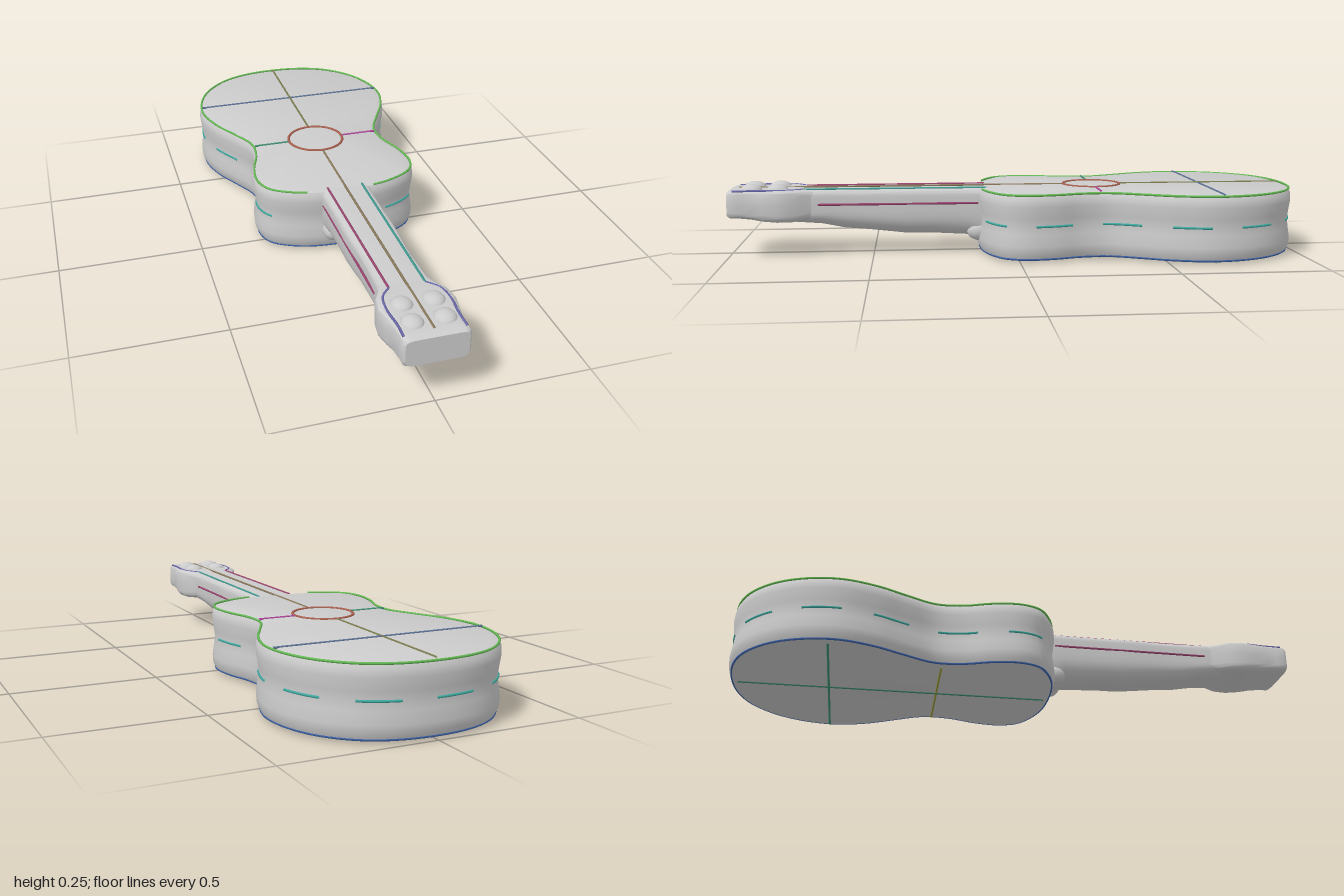
import * as THREE from 'three';
import { toCreasedNormals } from 'three/addons/utils/BufferGeometryUtils.js';

const V = (x, y, z) => new THREE.Vector3(x, y, z);

// Closed solid through equal-length rings of points
function loft(rings, crease = 0.7) {
  const n = rings[0].length, pos = [], idx = [];
  rings.forEach(r => r.forEach(p => pos.push(p.x, p.y, p.z)));
  for (let i = 0; i < rings.length - 1; i++) {
    for (let j = 0; j < n; j++) {
      const a = i * n + j, b = i * n + (j + 1) % n;
      idx.push(a, b, a + n, b, b + n, a + n);
    }
  }
  [0, rings.length - 1].forEach(i => {
    const c = V(0, 0, 0);
    rings[i].forEach(p => c.addScaledVector(p, 1 / n));
    const k = pos.length / 3;
    pos.push(c.x, c.y, c.z);
    for (let j = 0; j < n; j++) {
      const a = i * n + j, b = i * n + (j + 1) % n;
      if (i) idx.push(k, a, b); else idx.push(k, b, a);
    }
  });
  const g = new THREE.BufferGeometry();
  g.setAttribute('position', new THREE.Float32BufferAttribute(pos, 3));
  g.setIndex(idx);
  return toCreasedNormals(g, crease);
}

// Body plan: [half width, z] from the neck joint to the tail
const HALF = [[0.10, 0.125], [0.2, 0.095], [0.265, 0.05], [0.292, -0.02], [0.283, -0.12], [0.253, -0.22],
  [0.25, -0.31], [0.295, -0.41], [0.345, -0.51], [0.376, -0.63], [0.362, -0.75], [0.31, -0.86],
  [0.215, -0.95], [0.09, -0.995]];
const plan = new THREE.CatmullRomCurve3([
  ...HALF.map(([x, z]) => V(x, 0, z)),
  ...HALF.slice().reverse().map(([x, z]) => V(-x, 0, z)),
], true);
const PLAN_COUNT = 120;

// Plan outline moved inward by inset at height y
function outline(inset, y) {
  return Array.from({ length: PLAN_COUNT }, (_, i) => {
    const p = plan.getPointAt(i / PLAN_COUNT), t = plan.getTangentAt(i / PLAN_COUNT);
    return V(p.x + t.z * inset, y, p.z - t.x * inset);
  });
}

// Neck or head section: rounded box with separate top and bottom squareness
function section(z, w, y0, ym, y1, top, bottom) {
  return Array.from({ length: 40 }, (_, i) => {
    const a = i / 40 * Math.PI * 2, c = Math.cos(a), s = Math.sin(a);
    const e = s >= 0 ? top : bottom;
    const h = s >= 0 ? y1 - ym : ym - y0;
    return V(w * Math.sign(c) * Math.abs(c) ** e, ym + h * Math.sign(s) * Math.abs(s) ** e, z);
  });
}

export function createModel() {
  const model = new THREE.Group();
  const grey = new THREE.MeshStandardMaterial({ color: 0xcccccc });

  function add(name, geometry, material = grey) {
    const m = new THREE.Mesh(geometry, material);
    m.name = name;
    model.add(m);
    return m;
  }
  // Thin coloured line along points
  function line(name, color, points, closed = false) {
    const curve = new THREE.CatmullRomCurve3(points, closed, 'centripetal');
    const segments = points.length > 2 ? points.length * 3 : 1;
    return add(name, new THREE.TubeGeometry(curve, segments, 0.004, 6, closed),
      new THREE.MeshStandardMaterial({ color }));
  }

  // Hollow-waisted sound box with softly pinched sides
  const levels = [[0.03, 0.008], [0.012, 0.014], [0.002, 0.035], [0, 0.06], [0.006, 0.1], [0.009, 0.128],
    [0.006, 0.155], [0, 0.195], [0.002, 0.218], [0.01, 0.232], [0.03, 0.238]];
  const body = loft(levels.map(([inset, y]) => outline(inset, y)));
  add('body', body);

  // Neck with flat top and rounded, stepped underside: [z, half width, bottom]
  const neck = [[0.02, 0.088, 0.035], [0.13, 0.088, 0.042], [0.165, 0.086, 0.062], [0.3, 0.085, 0.07],
    [0.38, 0.086, 0.07], [0.45, 0.084, 0.078], [0.52, 0.08, 0.086], [0.6, 0.08, 0.093],
    [0.68, 0.083, 0.11], [0.78, 0.088, 0.118], [0.84, 0.08, 0.13]];
  add('neck', loft(neck.map(([z, w, y]) => section(z, w, y, 0.16, 0.236, 0.25, 0.8))));

  // Heel lumps under the neck joint
  [-1, 1].forEach(s => {
    const heel = add('heel', new THREE.SphereGeometry(1, 16, 12));
    heel.scale.set(0.03, 0.035, 0.045);
    heel.position.set(s * 0.058, 0.082, 0.125);
  });

  // Head, widest near the neck: [z, half width, bottom, top]
  const head = [[0.7, 0.08, 0.135, 0.234], [0.74, 0.094, 0.128, 0.237], [0.78, 0.115, 0.124, 0.24],
    [0.83, 0.122, 0.124, 0.24], [0.88, 0.114, 0.128, 0.238], [0.92, 0.106, 0.135, 0.239],
    [0.96, 0.104, 0.139, 0.239], [0.99, 0.104, 0.14, 0.238], [1, 0.097, 0.145, 0.233]];
  add('head', loft(head.map(([z, w, y0, y1]) => section(z, w, y0, 0.19, y1, 0.25, 0.3))));

  // Low domes on the head
  [-1, 1].forEach(s => [0.83, 0.92].forEach(z => {
    const dome = add('headDome', new THREE.SphereGeometry(1, 16, 10));
    dome.scale.set(0.036, 0.024, 0.04);
    dome.position.set(s * 0.05, 0.232, z);
  }));

  // Rim lines, open where the neck joins at the top
  line('topRim', 0x66bb55, outline(0.008, 0.235).slice(0, -8));
  line('bottomRim', 0x3d62a8, outline(0.012, 0.016), true);

  // Broken line around the waist of the sides
  const side = outline(0.008, 0.128);
  for (let i = 2; i < PLAN_COUNT - 12; i += 9) line('sideLine', 0x3fa9a0, side.slice(i, i + 6));

  // Sound hole ring
  const ring = add('soundHoleRing', new THREE.TorusGeometry(0.102, 0.005, 6, 48),
    new THREE.MeshStandardMaterial({ color: 0xa8604f }));
  ring.rotation.x = Math.PI / 2;
  ring.position.set(0, 0.238, -0.285);

  // Straight lines on the top and the back
  const T = 0.238, B = 0.008;
  line('bridgeLine', 0x5d7396, [V(-0.365, T, -0.68), V(0.365, T, -0.68)]);
  line('centreLineTail', 0x7d7d50, [V(0, T, -0.98), V(0, T, -0.39)]);
  line('centreLineNeck', 0x8a7a5c, [V(0, T, -0.18), V(0, T, 0.97)]);
  line('waistLineRight', 0x3f8f70, [V(-0.235, T, -0.285), V(-0.1, T, -0.285)]);
  line('waistLineLeft', 0xb0479c, [V(0.1, T, -0.285), V(0.235, T, -0.285)]);
  line('backCentreLine', 0x3f8f70, [V(0, B, -0.97), V(0, B, 0.1)]);
  line('backWaistLine', 0x9a9a45, [V(-0.22, B, -0.285), V(0.22, B, -0.285)]);
  line('backLowerLine', 0x3f8f70, [V(-0.35, B, -0.66), V(0.35, B, -0.66)]);

  // Neck edge, head edge and neck side lines
  [[-1, 0x9a4570], [1, 0x3f9a90]].forEach(([s, color]) => {
    line('neckEdgeLine', color, [V(s * 0.062, 0.236, 0.1), V(s * 0.058, 0.236, 0.74)]);
    line('headEdgeLine', 0x6a68a8, [V(s * 0.058, 0.236, 0.74), V(s * 0.09, 0.237, 0.78),
      V(s * 0.1, 0.237, 0.84), V(s * 0.094, 0.237, 0.92), V(s * 0.095, 0.236, 0.98)]);
    line('neckSideLine', 0x9a4570, [V(s * 0.086, 0.185, 0.13), V(s * 0.083, 0.185, 0.69)]);
  });
  return model;
}
